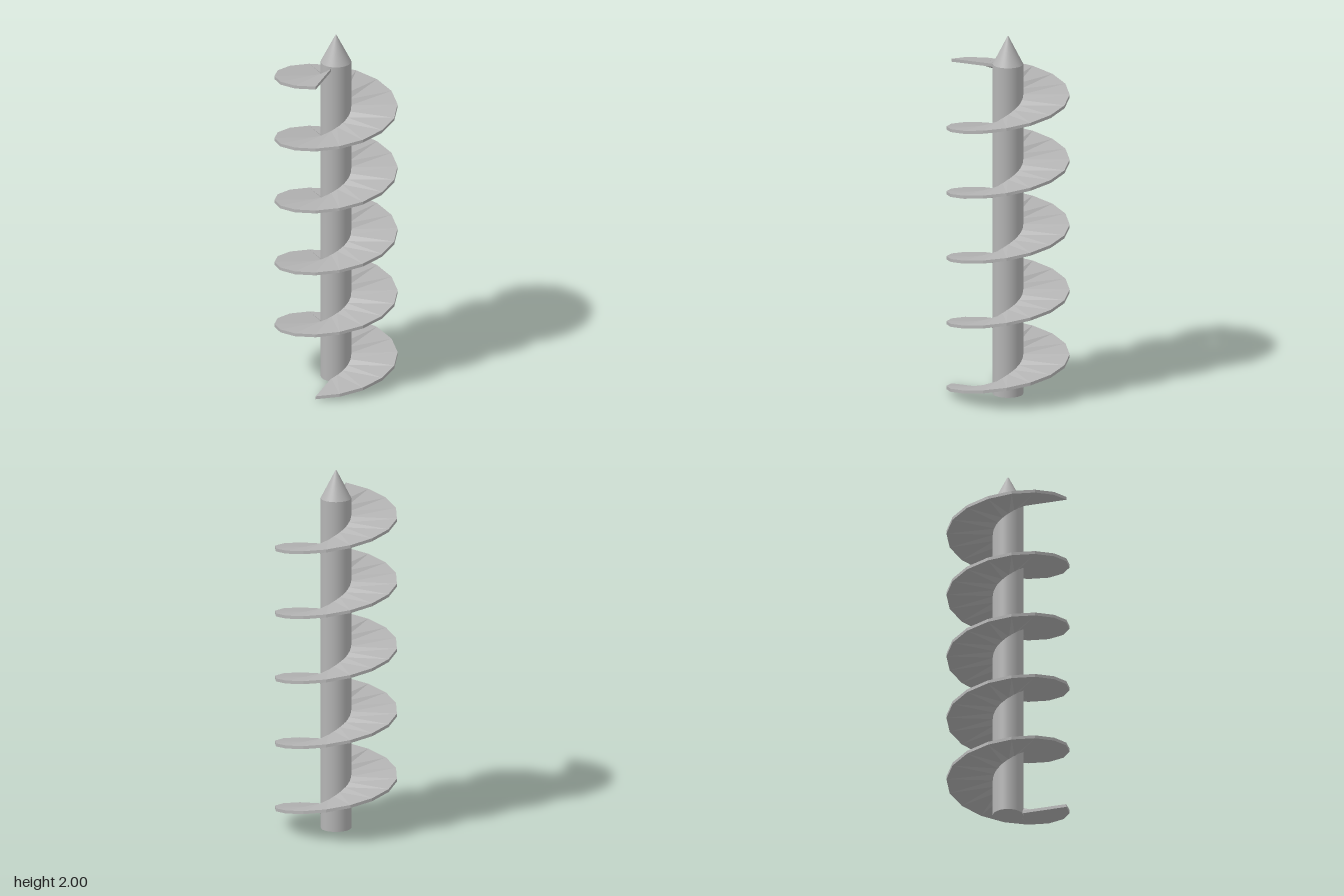
import * as THREE from 'three';

const SHAFT_R = 0.082, BLADE_R = 0.331;
const TURNS = 5, STEPS = 16, PITCH = 0.3636, THICK = 0.017;

// Sweeps a thin rectangular section around the shaft, rising one pitch per turn
function helixBlade() {
  const inner = SHAFT_R - 0.004;
  const section = [[inner, 0], [BLADE_R, 0], [BLADE_R, THICK], [inner, THICK]];
  const positions = [], index = [];
  const count = TURNS * STEPS;
  for (let i = 0; i <= count; i++) {
    const a = (i / STEPS) * Math.PI * 2 + 0.012;
    const y = (i / STEPS) * PITCH;
    for (const [r, h] of section) positions.push(r * Math.sin(a), y + h, r * Math.cos(a));
  }
  for (let i = 0; i < count; i++) {
    for (let k = 0; k < 4; k++) {
      const p = i * 4 + k, q = i * 4 + (k + 1) % 4;
      index.push(p, p + 4, q, q, p + 4, q + 4);
    }
  }
  // end caps
  const e = count * 4;
  index.push(0, 1, 2, 0, 2, 3, e, e + 2, e + 1, e, e + 3, e + 2);
  const geo = new THREE.BufferGeometry();
  geo.setAttribute('position', new THREE.Float32BufferAttribute(positions, 3));
  geo.setIndex(index);
  const flat = geo.toNonIndexed();
  flat.computeVertexNormals();
  return flat;
}

export function createModel() {
  const group = new THREE.Group();
  group.name = 'augerScrew';
  const steel = new THREE.MeshStandardMaterial({ color: 0xb4b4b4 });
  steel.name = 'grey steel';

  const add = (name, geo, y = 0) => {
    const mesh = new THREE.Mesh(geo, steel);
    mesh.name = name;
    mesh.position.y = y;
    group.add(mesh);
  };

  // round shaft with a pointed tip
  const shaftH = 1.845, tipH = 2 - shaftH;
  add('shaft', new THREE.CylinderGeometry(SHAFT_R, SHAFT_R, shaftH, 48), shaftH / 2);
  add('tip', new THREE.CylinderGeometry(0.003, SHAFT_R, tipH, 48), shaftH + tipH / 2);

  // spiral flight
  add('spiralBlade', helixBlade());
  return group;
}
